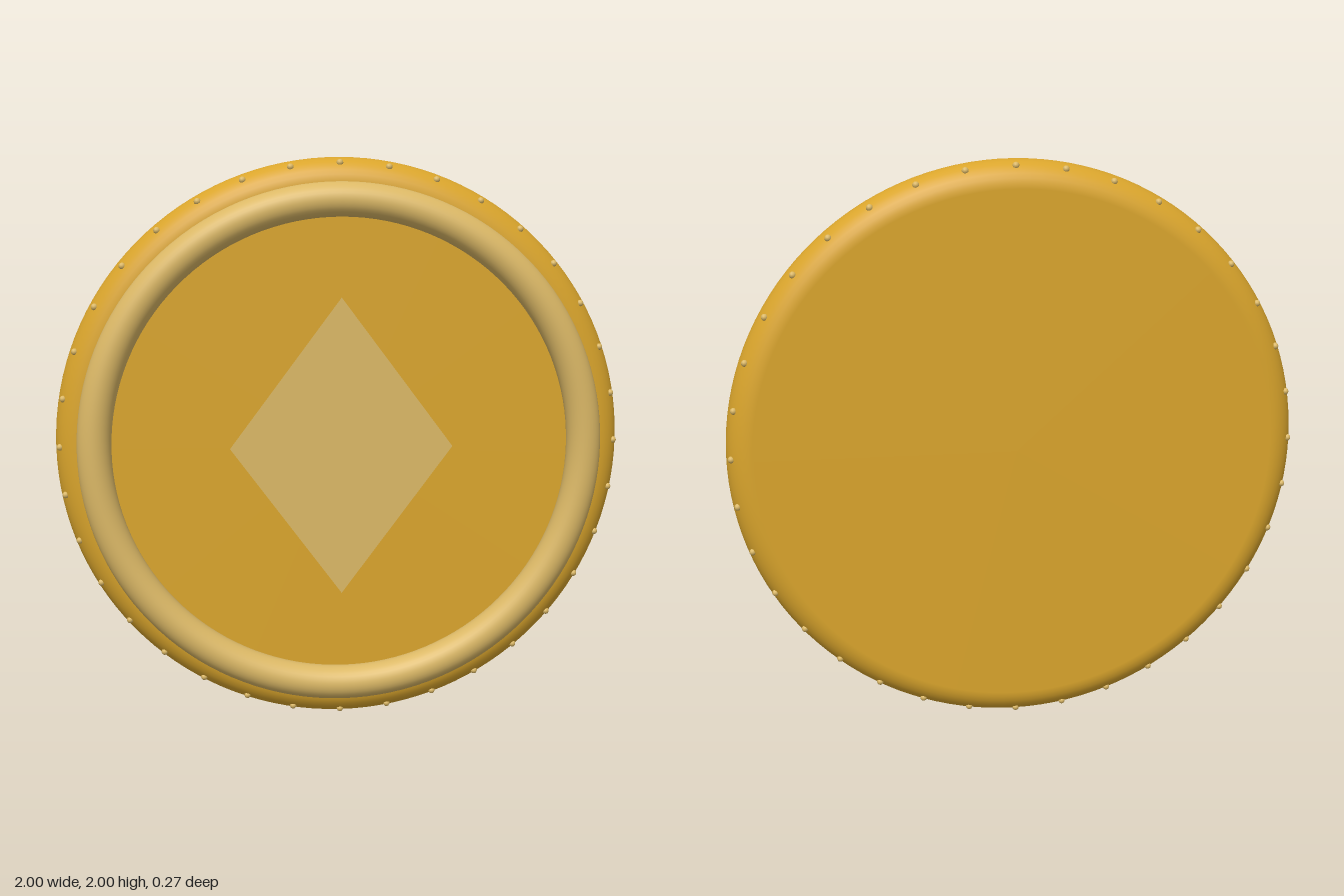
import * as THREE from 'three';

export function createModel() {
  const gold = new THREE.MeshStandardMaterial({ color: 0xdaa52c });
  gold.name = 'gold';
  const paleGold = new THREE.MeshStandardMaterial({ color: 0xdbb866 });
  paleGold.name = 'pale gold';

  const model = new THREE.Group();
  model.name = 'roundShield';
  const add = (name, geometry, material, x = 0, y = 1, z = 0, parent = model) => {
    const mesh = new THREE.Mesh(geometry, material);
    mesh.name = name;
    mesh.position.set(x, y, z);
    parent.add(mesh);
    return mesh;
  };

  // Disc with a fully rounded edge
  const edgeR = 0.0925, edgeCentre = 0.9075, bodyZ = -0.0425;
  add('roundedEdge', new THREE.TorusGeometry(edgeCentre, edgeR, 32, 128), gold, 0, 1, bodyZ);
  const back = add('backFace', new THREE.CircleGeometry(edgeCentre, 128), gold, 0, 1, bodyZ - edgeR);
  back.rotation.y = Math.PI;

  // Front face, enclosed by the raised ring
  add('frontFace', new THREE.CircleGeometry(0.86, 128), gold, 0, 1, 0.058);
  add('raisedRing', new THREE.TorusGeometry(0.86, 0.06, 32, 128), paleGold, 0, 1, 0.075);

  // Flat diamond inlay
  const diamond = new THREE.Shape([
    new THREE.Vector2(0.39, 0), new THREE.Vector2(0, 0.525),
    new THREE.Vector2(-0.39, 0), new THREE.Vector2(0, -0.525),
  ]);
  add('diamondInlay', new THREE.ShapeGeometry(diamond), paleGold, 0, 1, 0.095);

  // Two rows of rivets round the edge
  const rivets = new THREE.Group();
  rivets.name = 'rivets';
  model.add(rivets);
  const rivetGeometry = new THREE.SphereGeometry(0.012, 10, 8);
  const rowOffset = 0.055;
  const rowRadius = edgeCentre + Math.sqrt(edgeR ** 2 - rowOffset ** 2);
  for (const side of [1, -1]) {
    for (let i = 0; i < 36; i++) {
      const a = (i / 36) * Math.PI * 2;
      add('rivet', rivetGeometry, paleGold, rowRadius * Math.cos(a),
        1 + rowRadius * Math.sin(a), bodyZ + side * rowOffset, rivets);
    }
  }
  return model;
}
